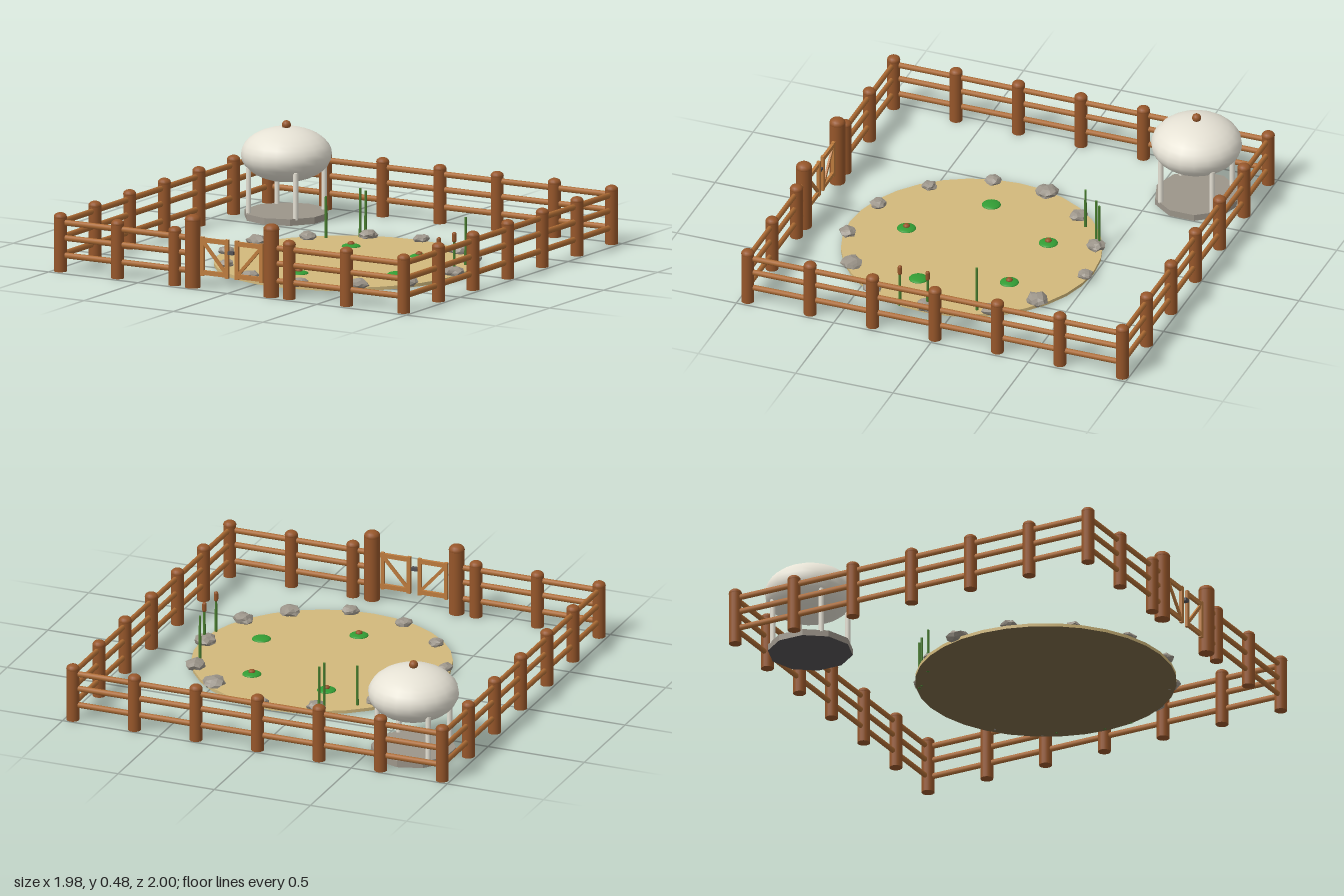
import * as THREE from 'three';

const mat = (name, color, flatShading = false) => {
  const m = new THREE.MeshStandardMaterial({ color, flatShading });
  m.name = name;
  return m;
};

export function createModel() {
  const model = new THREE.Group();
  model.name = 'pondPaddock';
  const post = mat('post brown', 0x96562a);
  const rail = mat('rail brown', 0xae6c34);
  const gateWood = mat('gate wood', 0xbe7c3e);
  const sand = mat('sand', 0xd2b97c);
  const mud = mat('dark mud', 0x7a6747);
  const stone = mat('stone grey', 0x9c958a, true);
  const dark = mat('dark grey', 0x535154);
  const cream = mat('cream', 0xe6e2d5);
  const leaf = mat('leaf green', 0x329c34);
  const reed = mat('reed green', 0x4a8030);

  const add = (name, geo, material, x, y, z, parent = model) => {
    const m = new THREE.Mesh(geo, material);
    m.name = name;
    m.position.set(x, y, z);
    parent.add(m);
    return m;
  };
  const group = (name) => {
    const g = new THREE.Group();
    g.name = name;
    model.add(g);
    return g;
  };

  // Fence posts with rounded caps
  const X = 0.96, ZB = -0.968, ZF = 0.957, ZM = (ZB + ZF) / 2;
  const fence = group('fence');
  const addPost = (name, x, z, r, h, parent) => {
    const shoulder = h - r * 0.7;
    add(name, new THREE.CylinderGeometry(r * 0.97, r * 0.97, shoulder, 16), post, x, shoulder / 2, z, parent);
    add(name + 'Cap', new THREE.SphereGeometry(r, 16, 10), post, x, shoulder, z, parent).scale.y = 0.7;
  };
  for (let i = -3; i <= 3; i++) {
    const x = i * 0.32, z = ZM + i * (ZF - ZB) / 6;
    addPost('backPost', x, ZB, 0.032, 0.288, fence);
    if (i !== 0) addPost('frontPost', x, ZF, 0.032, 0.288, fence);
    if (Math.abs(i) < 3) for (const s of [-1, 1]) addPost('sidePost', s * X, z, 0.032, 0.288, fence);
  }

  // Three slightly flattened rails along each side, open at the gate
  const addRail = (len, x, y, z, alongZ) => {
    const geo = new THREE.CylinderGeometry(0.0145, 0.0145, len, 10);
    geo.rotateZ(Math.PI / 2).scale(1, 1, 0.8);
    add('rail', geo, rail, x, y, z, fence).rotation.y = alongZ ? Math.PI / 2 : 0;
  };
  for (const y of [0.08, 0.165, 0.24]) {
    addRail(2 * X, 0, y, ZB, false);
    for (const s of [-1, 1]) {
      addRail(X - 0.22, s * (X + 0.22) / 2, y, ZF, false);
      addRail(ZF - ZB, s * X, y, ZM, true);
    }
  }

  // Double gate with braces falling to the middle
  const gate = group('gate');
  for (const s of [-1, 1]) {
    addPost('gatePost', s * 0.22, ZF, 0.039, 0.357, gate);
    for (const x of [0.165, 0.028])
      add('gateStile', new THREE.BoxGeometry(0.018, 0.19, 0.016), gateWood, s * x, 0.157, ZF, gate);
    for (const y of [0.078, 0.237])
      add('gateRail', new THREE.BoxGeometry(0.15, 0.022, 0.014), gateWood, s * 0.1, y, ZF, gate);
    add('gateBrace', new THREE.BoxGeometry(0.195, 0.016, 0.01), gateWood, s * 0.097, 0.157, ZF, gate)
      .rotation.z = s * Math.atan2(0.145, 0.13);
  }
  add('latch', new THREE.BoxGeometry(0.03, 0.016, 0.022), dark, 0, 0.19, ZF + 0.006, gate);

  // Round pond bed, dark underneath
  add('pondBed', new THREE.CylinderGeometry(0.627, 0.627, 0.016, 32), [sand, sand, mud], 0.13, 0.009, 0.13);

  // Irregular stones round the rim: x, z, radius
  const stones = [
    [-0.075, -0.425, 0.045], [0.192, -0.478, 0.037], [0.49, -0.345, 0.053], [0.655, -0.178, 0.05],
    [0.73, 0.12, 0.052], [0.665, 0.43, 0.048], [0.495, 0.605, 0.05], [0.235, 0.725, 0.042],
    [-0.06, 0.685, 0.039], [-0.3, 0.515, 0.036], [-0.46, 0.25, 0.039], [-0.455, -0.03, 0.053],
    [-0.305, -0.25, 0.042],
  ];
  const rim = group('rimStones');
  stones.forEach(([x, z, r], k) => {
    const geo = new THREE.IcosahedronGeometry(r, 1);
    const p = geo.attributes.position;
    for (let i = 0; i < p.count; i++) {
      const a = p.getX(i) / r, b = p.getY(i) / r, c = p.getZ(i) / r;
      const f = 1 + 0.14 * Math.sin(5 * a + 3 * b + 4 * c + k * 1.7);
      p.setXYZ(i, a * r * f, b * r * f * 0.55, c * r * f);
    }
    geo.computeVertexNormals();
    add('stone', geo, stone, x, 0.03, z, rim).rotation.y = k * 1.3;
  });

  // Lily pads, three of them with a bud: x, z, bud
  const pads = group('lilyPads');
  for (const [x, z, bud] of [[-0.033, -0.2, 1], [0.373, -0.158, 1], [-0.263, 0.183, 0], [0.5, 0.26, 0], [0.087, 0.482, 1]]) {
    add('lilyPad', new THREE.SphereGeometry(0.046, 20, 12), leaf, x, 0.017, z, pads).scale.y = 0.28;
    if (bud) add('bud', new THREE.SphereGeometry(0.017, 12, 8), post, x, 0.031, z, pads).scale.y = 0.7;
  }

  // Reeds: x, z, height, brown head
  const reeds = group('reeds');
  for (const [x, z, h, head] of [
    [0.737, 0.12, 0.21, 1], [0.737, 0.262, 0.21, 1], [0.665, -0.105, 0.25, 0],
    [-0.112, -0.415, 0.255, 0], [-0.095, -0.437, 0.24, 0], [-0.24, -0.31, 0.22, 0],
  ]) {
    add('reedStem', new THREE.CylinderGeometry(0.006, 0.0075, h, 8), reed, x, h / 2, z, reeds);
    if (head) add('reedHead', new THREE.CapsuleGeometry(0.011, 0.03, 4, 10), post, x, h - 0.012, z, reeds);
  }

  // Raised shelter: plinth, four legs, squashed round body and knob
  const hut = group('shelter');
  hut.position.set(-0.698, 0, -0.702);
  add('plinth', new THREE.CylinderGeometry(0.205, 0.205, 0.032, 10), [stone, stone, dark], 0, 0.016, 0, hut);
  for (const x of [-0.132, 0.132]) for (const z of [-0.132, 0.132])
    add('leg', new THREE.CylinderGeometry(0.013, 0.013, 0.23, 10), cream, x, 0.14, z, hut);
  add('body', new THREE.SphereGeometry(0.219, 20, 16), cream, 0, 0.311, 0, hut).scale.y = 0.6;
  add('knob', new THREE.SphereGeometry(0.022, 14, 10), post, 0, 0.453, 0, hut);

  return model;
}
